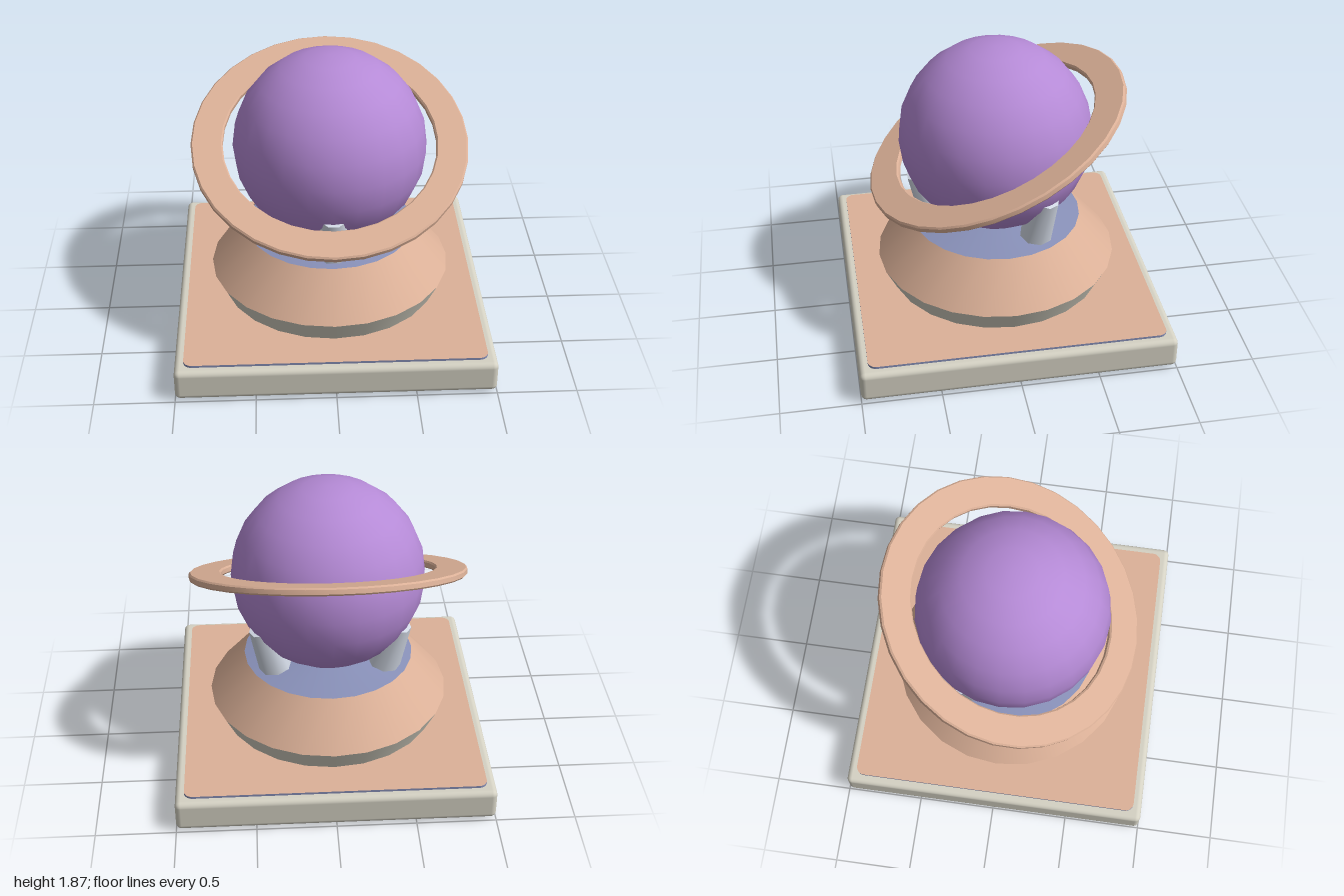
import * as THREE from 'three';
import { toCreasedNormals } from 'three/addons/utils/BufferGeometryUtils.js';
import { RoundedBoxGeometry } from 'three/addons/geometries/RoundedBoxGeometry.js';

const material = (name, color) => {
  const m = new THREE.MeshStandardMaterial({ color });
  m.name = name;
  return m;
};

export function createModel() {
  const cream = material('cream', 0xd5d2c4);
  const tan = material('tan', 0xdcb198);
  const blue = material('slate blue', 0x8890b8);
  const silver = material('silver', 0xd3dae6);
  const purple = material('purple', 0xb58ad6);

  const model = new THREE.Group();
  model.name = 'ringedPlanetOnStand';

  const add = (name, geometry, mat) => {
    const mesh = new THREE.Mesh(geometry, mat);
    mesh.name = name;
    model.add(mesh);
    return mesh;
  };

  // Square base slab with rounded edges
  add('baseSlab', new RoundedBoxGeometry(2, 0.205, 2, 3, 0.035), cream).position.y = 0.1175;

  // Inset panel showing above and below the slab: tan faces, blue rim
  const h = 0.943, r = 0.055;
  const outline = new THREE.Shape();
  outline.absarc(h - r, h - r, r, 0, Math.PI / 2);
  outline.absarc(-h + r, h - r, r, Math.PI / 2, Math.PI);
  outline.absarc(-h + r, -h + r, r, Math.PI, Math.PI * 1.5);
  outline.absarc(h - r, -h + r, r, Math.PI * 1.5, Math.PI * 2);
  const panel = new THREE.ExtrudeGeometry(outline, { depth: 0.235, bevelEnabled: false, curveSegments: 5 });
  panel.rotateX(-Math.PI / 2);
  add('basePanel', panel, [tan, blue]);

  // Pedestal tiers: [name, bottom y, bottom radius, top y, top radius, material]
  const tiers = [
    ['pedestalFoot', 0.235, 0.71, 0.38, 0.78, cream],
    ['pedestalBody', 0.38, 0.78, 0.655, 0.55, tan],
    ['pedestalCap', 0.655, 0.55, 0.708, 0.3, blue],
  ];
  for (const [name, y0, r0, y1, r1, mat] of tiers) {
    add(name, new THREE.CylinderGeometry(r1, r0, y1 - y0, 24), mat).position.y = (y0 + y1) / 2;
  }

  // Three tapered prongs leaning outward around the planet
  const foot = new THREE.Vector3(0, 0.6, 0.382);
  const tip = new THREE.Vector3(0, 1.0, 0.498);
  const lean = tip.clone().sub(foot);
  const prong = new THREE.CylinderGeometry(0.084, 0.112, lean.length(), 8, 1, false, Math.PI / 8);
  prong.rotateX(Math.atan2(lean.z, lean.y));
  prong.translate(0, (foot.y + tip.y) / 2, (foot.z + tip.z) / 2);
  ['frontProng', 'leftProng', 'rightProng'].forEach((name, i) => {
    add(name, prong, silver).rotation.y = (i * Math.PI * 2) / 3;
  });

  // Planet
  add('planet', new THREE.SphereGeometry(0.617, 24, 12), purple).position.y = 1.25;

  // Tilted flat ring with small bevels
  const inner = 0.68, outer = 0.882, t = 0.024, b = 0.01;
  const profile = [
    [inner, -t + b], [inner + b, -t], [outer - b, -t], [outer, -t + b],
    [outer, t - b], [outer - b, t], [inner + b, t], [inner, t - b], [inner, -t + b],
  ].map(([x, y]) => new THREE.Vector2(x, y));
  const ring = add('planetRing', toCreasedNormals(new THREE.LatheGeometry(profile, 32), 0.5), tan);
  ring.position.y = 1.25;
  ring.rotation.x = 0.42;

  return model;
}
